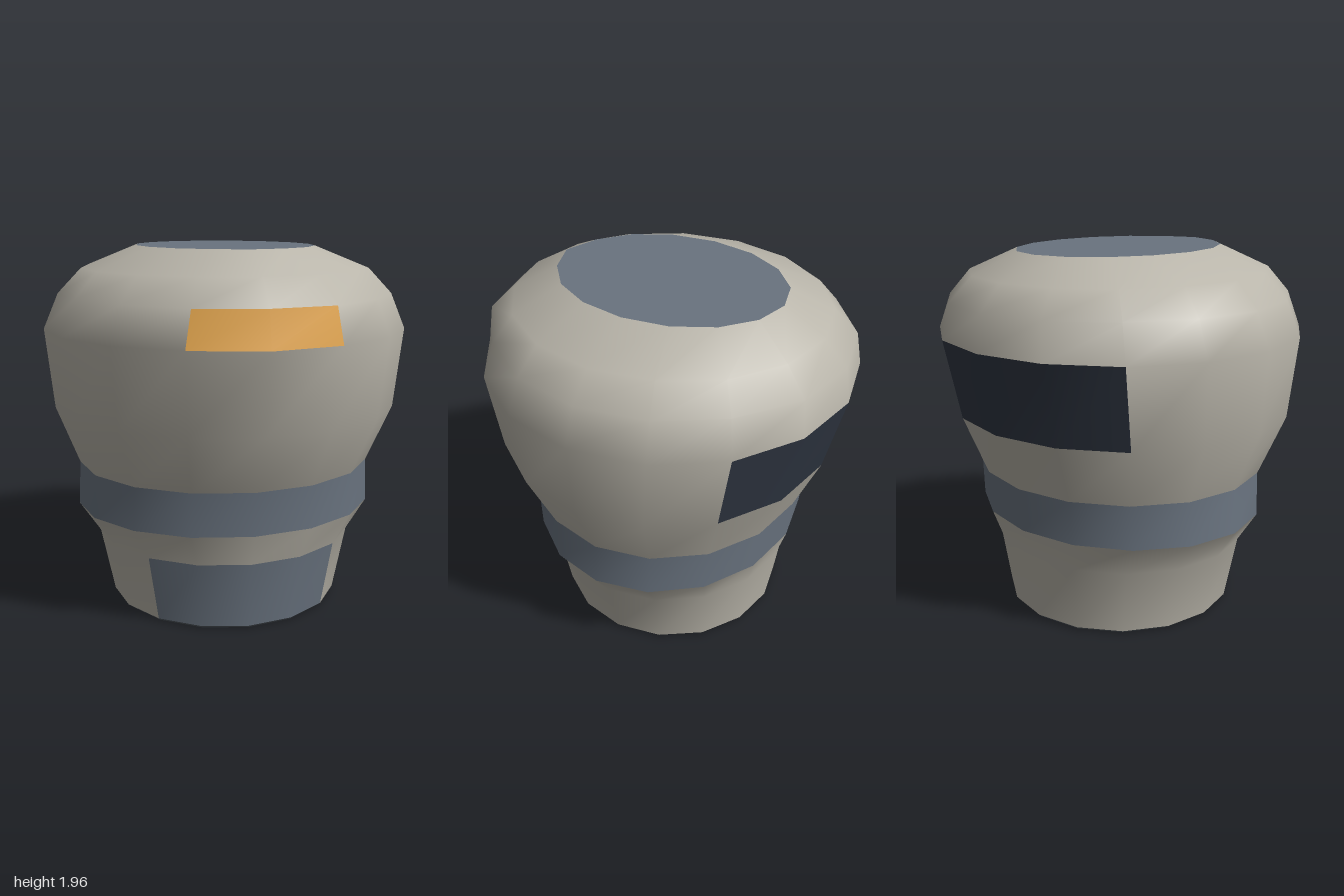
import * as THREE from 'three';

const SIDES = 16;

// Cross-sections from the foot up: height, half width, half depth, depth offset
const RINGS = [
  [0.0, 0.62, 0.62, -0.02],
  [0.015, 0.637, 0.635, -0.02],
  [0.375, 0.71, 0.68, -0.02],
  [0.545, 0.823, 0.73, -0.02],
  [0.782, 0.81, 0.75, -0.02],
  [1.1, 0.932, 0.9, 0],
  [1.525, 0.975, 0.985, -0.01],
  [1.71, 0.895, 0.93, -0.01],
  [1.84, 0.77, 0.83, -0.01],
  [1.955, 0.475, 0.613, -0.01],
];
const BROW = 7, WIDEST = 6, TOP = 9;

// Column 0 is the front, column 4 the +x side, column 8 the back
function point(r, c) {
  const [y, rx, rz, cz] = RINGS[r];
  const a = (c / SIDES) * Math.PI * 2;
  let z = cz + rz * Math.cos(a);
  const nearFront = c <= 1 || c === SIDES - 1;
  const nearBack = c >= 7 && c <= 9;
  if (r === BROW && nearFront) z += 0.035;
  if (r === BROW && nearBack) z -= 0.025;
  if ((r === WIDEST || r === TOP) && c === 0) z += 0.02;
  return [rx * Math.sin(a), y, z];
}

function build(positions, index) {
  const g = new THREE.BufferGeometry();
  g.setAttribute('position', new THREE.Float32BufferAttribute(positions, 3));
  g.setIndex(index);
  g.computeVertexNormals();
  return g;
}

// Skin between two rings, over the columns accepted by keep(row, column)
function skin(first, last, keep = () => true) {
  const positions = [], index = [];
  for (let r = first; r <= last; r++)
    for (let c = 0; c < SIDES; c++) positions.push(...point(r, c));
  for (let r = first; r < last; r++)
    for (let c = 0; c < SIDES; c++) {
      if (!keep(r, c)) continue;
      const base = (r - first) * SIDES;
      const a = base + c, b = base + ((c + 1) % SIDES);
      index.push(a, b, b + SIDES, a, b + SIDES, a + SIDES);
    }
  return build(positions, index);
}

// Flat lid closing one ring
function lid(r, up) {
  const positions = [], index = [];
  for (let c = 0; c < SIDES; c++) positions.push(...point(r, c));
  for (let c = 1; c < SIDES - 1; c++) index.push(...(up ? [0, c, c + 1] : [0, c + 1, c]));
  return build(positions, index);
}

export function createModel() {
  const group = new THREE.Group();
  const material = (name, color) => {
    const m = new THREE.MeshStandardMaterial({ color });
    m.name = name;
    return m;
  };
  const stone = material('warm grey', 0xb9b5aa);
  const slate = material('slate grey', 0x69737f);
  const navy = material('dark navy', 0x2f3642);
  const charcoal = material('charcoal', 0x535a61);
  const amber = material('amber', 0xe8a94c);

  const add = (name, geometry, mat) => {
    const mesh = new THREE.Mesh(geometry, mat);
    mesh.name = name;
    group.add(mesh);
  };

  // Column ranges centred on the front or back
  const front = (c, half) => c < half || c >= SIDES - half;
  const back = (c, half) => c >= 8 - half && c < 8 + half;
  const isFrontPanel = (r, c) => r === 1 && front(c, 2);
  const isBackPanel = (r, c) => r === 5 && back(c, 2);
  const isLight = (r, c) => r === 6 && front(c, 1);

  // Foot
  add('footBase', lid(0, false), charcoal);
  add('footRim', skin(0, 1), charcoal);

  // Neck with its front panel
  add('neck', skin(1, 3, (r, c) => !isFrontPanel(r, c)), stone);
  add('neckFrontPanel', skin(1, 2, isFrontPanel), slate);

  // Collar band
  add('collarBand', skin(3, 4), slate);

  // Rounded upper body with inset colour panels
  add('upperBody', skin(4, TOP, (r, c) => !isBackPanel(r, c) && !isLight(r, c)), stone);
  add('backPanel', skin(5, 6, isBackPanel), navy);
  add('frontLight', skin(WIDEST, BROW, isLight), amber);
  add('topPlate', lid(TOP, true), slate);

  return group;
}
